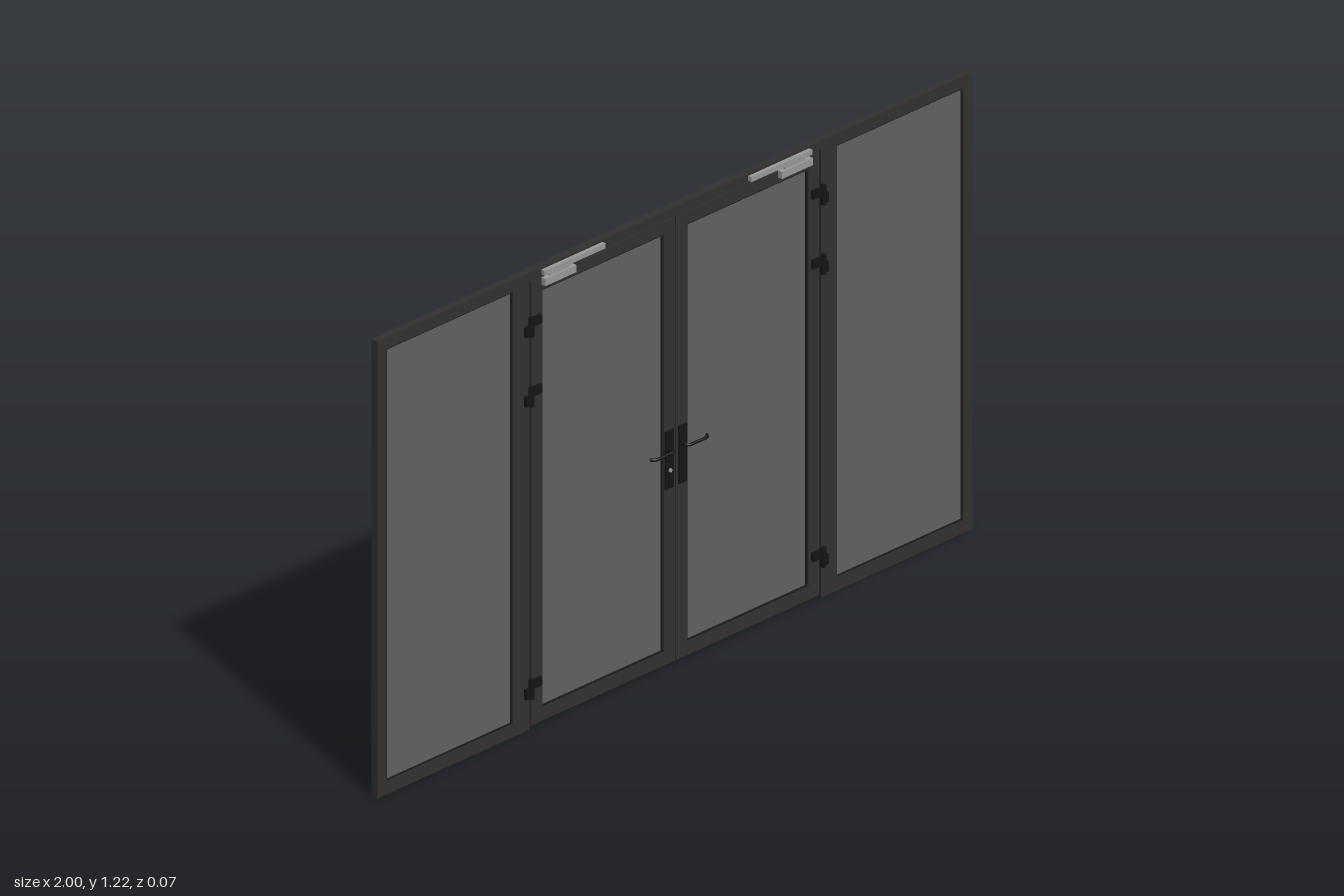
import * as THREE from 'three';

const mat = (color, side = THREE.FrontSide) => new THREE.MeshStandardMaterial({ color, side });
const frameMat = mat(0x33312f);
const sealMat = mat(0x1c1c1c);
const glassMat = mat(0x626262);
const blackMat = mat(0x151515);
const silverMat = mat(0x9a9a9a);

function add(parent, name, geometry, material) {
  const mesh = new THREE.Mesh(geometry, material);
  mesh.name = name;
  parent.add(mesh);
  return mesh;
}

// Box given by its limits on each axis
function box(parent, name, material, x0, x1, y0, y1, z0, z1) {
  const mesh = add(parent, name, new THREE.BoxGeometry(Math.abs(x1 - x0), y1 - y0, z1 - z0), material);
  mesh.position.set((x0 + x1) / 2, (y0 + y1) / 2, (z0 + z1) / 2);
  return mesh;
}

function rectangle(path, [x0, x1, y0, y1]) {
  path.moveTo(x0, y0);
  path.lineTo(x1, y0);
  path.lineTo(x1, y1);
  path.lineTo(x0, y1);
  path.closePath();
  return path;
}

// Rectangular ring extruded from z0 to z1
function ring(parent, name, material, outer, inner, z0, z1) {
  const shape = rectangle(new THREE.Shape(), outer);
  shape.holes.push(rectangle(new THREE.Path(), inner));
  const geometry = new THREE.ExtrudeGeometry(shape, { depth: z1 - z0, bevelEnabled: false });
  geometry.translate(0, 0, z0);
  return add(parent, name, geometry, material);
}

// Frame, dark glazing seal and pane
function glazedPanel(name, outer, pane, z0, z1) {
  const group = new THREE.Group();
  group.name = name;
  const [x0, x1, y0, y1] = pane;
  const s = 0.004;
  ring(group, 'panelFrame', frameMat, outer, [x0 - s, x1 + s, y0 - s, y1 + s], z0, z1);
  ring(group, 'glazingSeal', sealMat, [x0 - s, x1 + s, y0 - s, y1 + s], pane, z0 + 0.003, z1 - 0.003);
  box(group, 'glassPane', glassMat, x0, x1, y0, y1, -0.005, 0.003);
  return group;
}

// Lever on a short neck, curving outwards along side s, on face f (+1 front, -1 back)
function lever(parent, s, f) {
  const points = [[0.022, 0.011], [0.022, 0.024], [0.027, 0.03], [0.045, 0.031],
    [0.08, 0.031], [0.09, 0.028], [0.094, 0.022]]
    .map(([x, z]) => new THREE.Vector3(s * x, 0.58, f * z));
  const curve = new THREE.CatmullRomCurve3(points, false, 'centripetal');
  add(parent, 'lever', new THREE.TubeGeometry(curve, 28, 0.004, 8), blackMat);
  for (const p of [points[0], points[points.length - 1]]) {
    add(parent, 'leverEnd', new THREE.SphereGeometry(0.004, 8, 6), blackMat).position.copy(p);
  }
  const rose = add(parent, 'leverRose', new THREE.CylinderGeometry(0.008, 0.008, 0.006, 16), blackMat);
  rose.rotation.x = Math.PI / 2;
  rose.position.set(s * 0.022, 0.58, f * 0.015);
}

function hinge(s, y) {
  const group = new THREE.Group();
  group.name = 'hinge';
  const knuckle = add(group, 'hingeKnuckle', new THREE.CylinderGeometry(0.007, 0.007, 0.052, 12), blackMat);
  knuckle.position.set(s * 0.491, y, 0.018);
  box(group, 'jambLeaf', blackMat, s * 0.508, s * 0.486, y - 0.024, y + 0.002, 0.008, 0.019);
  box(group, 'doorLeaf', blackMat, s * 0.491, s * 0.456, y - 0.002, y + 0.021, 0.008, 0.019);
  return group;
}

export function createModel() {
  const model = new THREE.Group();
  const top = 1.215;

  for (const s of [-1, 1]) {
    const span = (a, b) => (s < 0 ? [-b, -a] : [a, b]);

    // Fixed side window
    model.add(glazedPanel('sideWindow', [...span(0.487, 1), 0, top],
      [...span(0.548, 0.965), 0.038, 1.18], -0.011, 0.009));

    // Door jamb with its rear cover flange
    box(model, 'doorJamb', frameMat, s * 0.475, s * 0.489, 0.01, 1.198, -0.012, 0.006);
    box(model, 'jambFlange', frameMat, s * 0.472, s * 0.514, 0, top, -0.0135, -0.0105);
    box(model, 'jambJoint', sealMat, s * 0.4865, s * 0.4895, 0, 1.195, 0.006, 0.0095);

    // Door leaf
    model.add(glazedPanel('doorLeaf', [...span(0.002, 0.485), 0.01, 1.188],
      [...span(0.043, 0.443), 0.049, 1.152], -0.011, 0.0105));

    // Hinges
    for (const y of [0.112, 0.89, 1.075]) model.add(hinge(s, y));

    // Overhead closer: slide rail, body and joining arm
    const closer = new THREE.Group();
    closer.name = 'doorCloser';
    box(closer, 'closerRail', silverMat, s * 0.45, s * 0.245, 1.197, 1.21, 0.01, 0.021);
    box(closer, 'closerBody', silverMat, s * 0.45, s * 0.345, 1.17, 1.189, 0.01, 0.023);
    box(closer, 'closerArm', silverMat, s * 0.43, s * 0.36, 1.189, 1.197, 0.014, 0.018);
    model.add(closer);

    // Handle plates and levers on both faces
    const handle = new THREE.Group();
    handle.name = 'doorHandle';
    for (const f of [-1, 1]) {
      const z = [f * 0.009, f * 0.0145].sort((a, b) => a - b);
      box(handle, 'handlePlate', blackMat, s * 0.008, s * 0.036, 0.476, 0.63, ...z);
      lever(handle, s, f);
    }
    model.add(handle);
  }

  // Head of the door frame, meeting strips between the leaves
  box(model, 'doorHead', frameMat, -0.489, 0.489, 1.19, top, -0.0125, 0.0095);
  box(model, 'headFlange', frameMat, -0.472, 0.472, 1.176, top, -0.0135, -0.0105);
  box(model, 'meetingSeal', sealMat, -0.002, 0.002, 0.012, 1.19, -0.009, 0.008);
  box(model, 'meetingStrip', frameMat, -0.03, -0.003, 0.012, 1.17, -0.0125, -0.0105);

  // Lock cylinder through the active leaf
  const lock = add(model, 'lockCylinder', new THREE.CylinderGeometry(0.005, 0.005, 0.036, 16), silverMat);
  lock.rotation.x = Math.PI / 2;
  lock.position.set(-0.022, 0.525, 0);

  return model;
}
